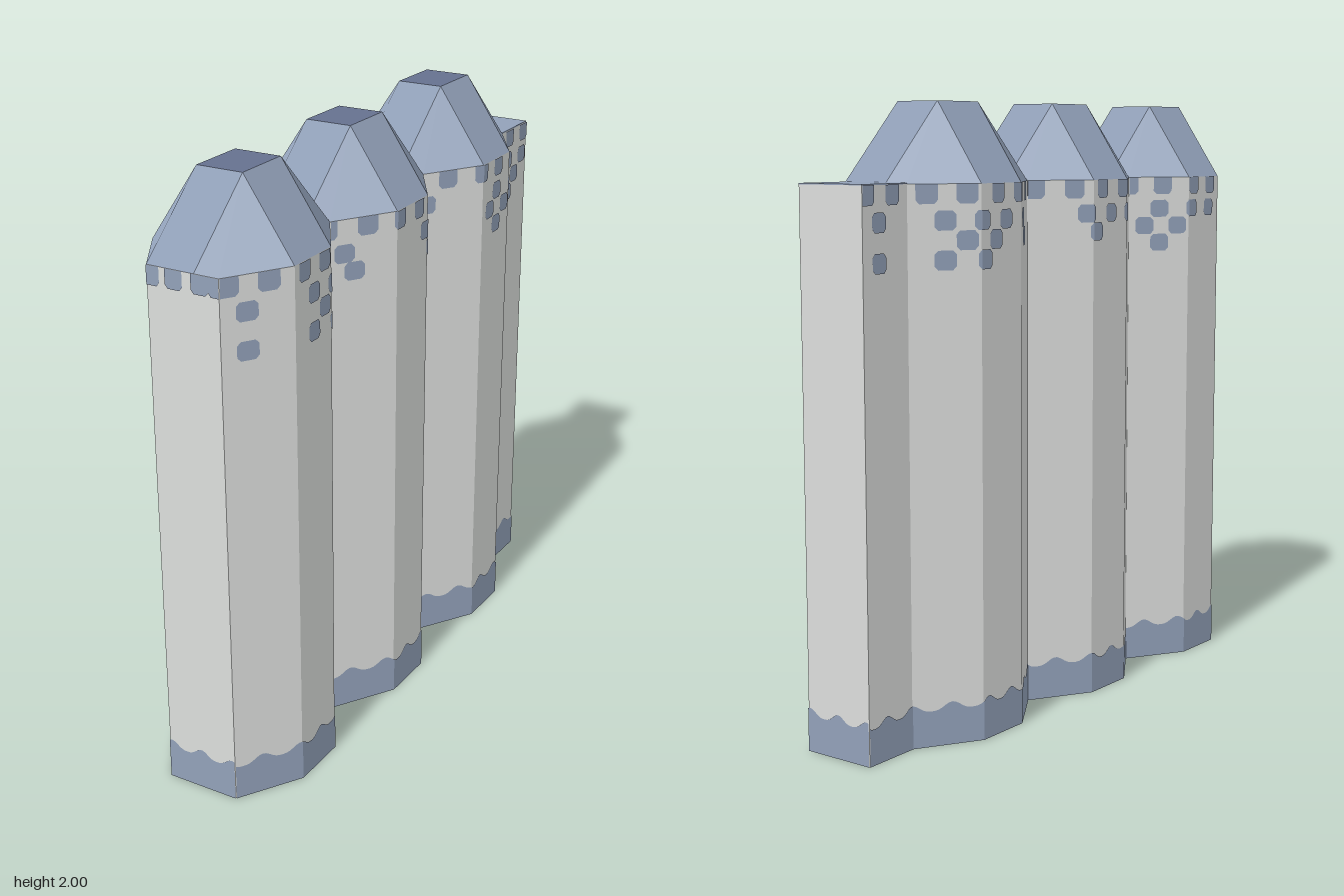
import * as THREE from 'three';

const stone = new THREE.MeshStandardMaterial({ color: 0xdcdedc });
stone.name = 'pale stone';
const blue = new THREE.MeshStandardMaterial({ color: 0x92a1b9 });
blue.name = 'slate blue';
const darkBlue = new THREE.MeshStandardMaterial({ color: 0x66718f });
darkBlue.name = 'dark slate';

const WALL = 1.75, TOP = 2, LIFT = 0.003;
const COLUMNS = [0.7, 0.1, -0.5];

function add(group, name, geometry, material) {
  const mesh = new THREE.Mesh(geometry, material);
  mesh.name = name;
  group.add(mesh);
  return mesh;
}

// half width of the wall at depth z
function halfWidth(z) {
  if (z < -0.8) return 0.125;
  const d = Math.min(...COLUMNS.map(c => Math.abs(z - c)));
  return d <= 0.1 ? 0.25 : Math.max(0.125, 0.25 - (d - 0.1) * 0.625);
}

// each wall maps t, running left to right as seen from outside, to [x, z]
const walls = {
  left: t => [halfWidth(-t) + LIFT, -t],
  right: t => [-halfWidth(t) - LIFT, t],
  front: t => [t, 1 + LIFT],
  back: t => [-t, -1 - LIFT],
};

// painted strip on a wall between two height functions, in steps of 0.01
function paintStrip(out, wall, t0, t1, lo, hi) {
  const n = Math.round((t1 - t0) * 100);
  for (let i = 0; i < n; i++) {
    const a = t0 + (t1 - t0) * i / n, b = t0 + (t1 - t0) * (i + 1) / n;
    const [ax, az] = wall(a), [bx, bz] = wall(b);
    const p = [ax, lo(a), az], q = [bx, lo(b), bz];
    const r = [bx, hi(b), bz], s = [ax, hi(a), az];
    out.push(...p, ...q, ...r, ...p, ...r, ...s);
  }
}

// small rounded square
function paintPatch(out, wall, t, y, limit) {
  const half = u => (Math.abs(u - t) > 0.025 ? 0.018 : 0.03);
  const t0 = Math.max(-limit, t - 0.03), t1 = Math.min(limit, t + 0.03);
  paintStrip(out, wall, t0, t1, u => y - half(u), u => (y > 1.7 ? WALL : y + half(u)));
}

function toGeometry(positions) {
  const g = new THREE.BufferGeometry();
  g.setAttribute('position', new THREE.Float32BufferAttribute(positions, 3));
  g.computeVertexNormals();
  return g;
}

// faces drawn as fans, each with one shared normal
function fanFaces(faces) {
  const pos = [], nor = [];
  for (const f of faces) {
    const n = new THREE.Vector3();
    f.forEach((p, i) => n.add(p.clone().cross(f[(i + 1) % f.length])));
    n.normalize();
    for (let i = 1; i < f.length - 1; i++) {
      for (const p of [f[0], f[i], f[i + 1]]) {
        pos.push(p.x, p.y, p.z);
        nor.push(n.x, n.y, n.z);
      }
    }
  }
  const g = new THREE.BufferGeometry();
  g.setAttribute('position', new THREE.Float32BufferAttribute(pos, 3));
  g.setAttribute('normal', new THREE.Float32BufferAttribute(nor, 3));
  return g;
}

// sloping roof: one half, then the same turned by 180 degrees
function roofGeometry() {
  const v = (x, y, z) => new THREE.Vector3(x, y, z);
  const base = (x, z) => v(x, WALL, z);
  const rim = (x, z) => v(x, TOP, z);
  const half = [
    [rim(-0.08, 0.1), base(-0.25, 0.1), base(-0.125, 0.3), base(0.04, 0.3), rim(0.08, 0.1)],
    [rim(0.08, 0.1), base(0.04, 0.3), base(0.125, 0.3), base(0.25, 0.1)],
    [rim(0.08, 0.1), base(0.25, 0.1), base(0.25, -0.1), rim(0.08, -0.1)],
  ];
  const turned = half.map(f => f.map(p => v(-p.x, p.y, -p.z)));
  return fanFaces([...half, ...turned]);
}

export function createModel() {
  const model = new THREE.Group();
  model.name = 'columnWall';

  // wall body: three joined six-sided columns and a short end block
  const zs = [1, 0.8, 0.6, 0.4, 0.2, 0, -0.2, -0.4, -0.6, -0.8, -1];
  const side = zs.map(z => new THREE.Vector2(halfWidth(z), -z));
  const other = side.map(p => new THREE.Vector2(-p.x, p.y)).reverse();
  const body = new THREE.ExtrudeGeometry(new THREE.Shape([...side, ...other]), {
    depth: WALL, bevelEnabled: false,
  });
  body.rotateX(-Math.PI / 2);
  add(model, 'wallBody', body, stone);

  // roofs
  const roof = roofGeometry();
  for (const z of COLUMNS) {
    add(model, 'roofSlopes', roof, blue).position.z = z;
    const flat = new THREE.PlaneGeometry(0.16, 0.2).rotateX(-Math.PI / 2);
    add(model, 'roofTop', flat, darkBlue).position.set(0, TOP, z);
  }
  const lid = new THREE.BoxGeometry(0.25, 0.004, 0.2);
  add(model, 'endBlockTop', lid, blue).position.set(0, WALL + 0.002, -0.9);

  // wavy band around the foot
  const wave = t => 0.115 + 0.025 * Math.abs(Math.cos(Math.PI * t / 0.115)) ** 3;
  const band = [];
  for (const [name, wall] of Object.entries(walls)) {
    const limit = name === 'front' || name === 'back' ? 0.125 : 1;
    paintStrip(band, wall, -limit, limit, () => 0, wave);
  }
  add(model, 'footBand', toGeometry(band), blue);

  // scattered checks hanging below the roofs
  const rows = [
    [1.72, Array.from({ length: 18 }, (_, k) => Math.round(98 - 11.5 * k) / 100)],
    [1.64, [0.93, 0.7, 0.59, 0.48, 0.36, 0.02, -0.1, -0.21, -0.5, -0.62, -0.73, -0.85, -0.96]],
    [1.58, [0.64, 0.53, 0.33, -0.02, -0.45, -0.56, -0.9]],
    [1.52, [0.93, 0.7, 0.58, -0.5, -0.85]],
  ];
  const checks = [];
  for (const [y, list] of rows) {
    for (const z of list) {
      paintPatch(checks, walls.left, -z, y, 1);
      paintPatch(checks, walls.right, -z, y, 1);
    }
  }
  for (const x of [-0.11, -0.03, 0.06, 0.12]) paintPatch(checks, walls.front, x, 1.72, 0.125);
  add(model, 'roofChecks', toGeometry(checks), blue);

  return model;
}
